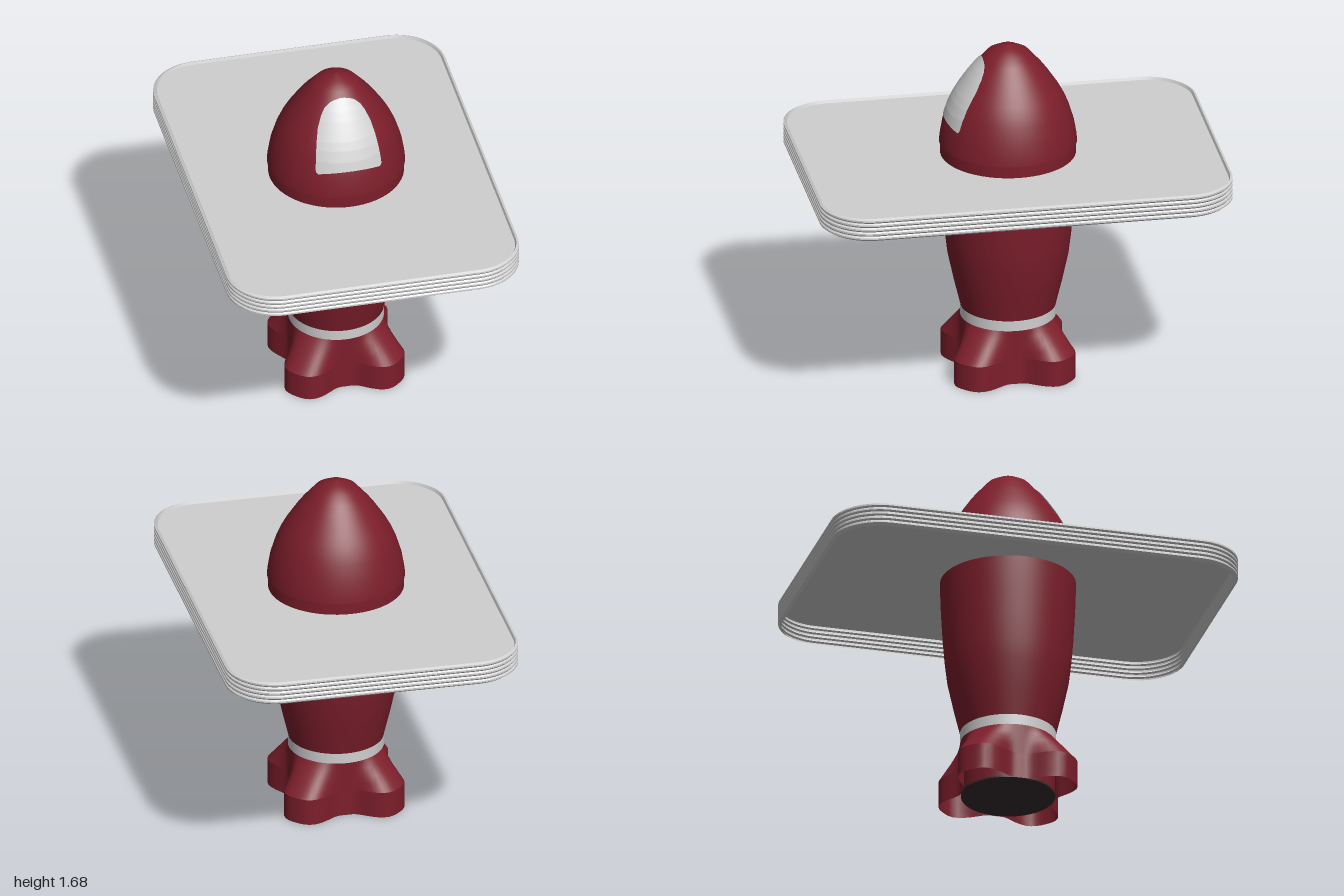
import * as THREE from 'three';
import { mergeGeometries } from 'three/addons/utils/BufferGeometryUtils.js';
import { ParametricGeometry } from 'three/addons/geometries/ParametricGeometry.js';

const red = new THREE.MeshStandardMaterial({ color: 0x7c1e2b, side: THREE.DoubleSide });
red.name = 'deep red';
const pale = new THREE.MeshStandardMaterial({ color: 0xcfcfcf, side: THREE.DoubleSide });
pale.name = 'pale grey';
const dark = new THREE.MeshStandardMaterial({ color: 0x372a2e });
dark.name = 'dark base';

// dome profile as [radius, height]
const DOME = [[0.33, 1.18], [0.327, 1.21], [0.315, 1.28], [0.29, 1.36], [0.268, 1.41], [0.246, 1.45],
  [0.22, 1.49], [0.193, 1.53], [0.165, 1.567], [0.132, 1.605], [0.1, 1.641], [0.05, 1.668], [0, 1.68]];
// window outline as [half width, height]
const WINDOW = [[0.152, 1.3], [0.16, 1.308], [0.161, 1.32], [0.155, 1.38], [0.145, 1.44], [0.13, 1.5],
  [0.108, 1.55], [0.088, 1.58], [0.062, 1.602], [0.036, 1.614], [0.01, 1.619]];

// linear lookup of the first value at a height
function widthAt(table, y) {
  for (let i = 1; i < table.length; i++) {
    const [r0, y0] = table[i - 1], [r1, y1] = table[i];
    if (y <= y1) return r0 + (r1 - r0) * Math.max(0, (y - y0) / (y1 - y0));
  }
  return table[table.length - 1][0];
}

const lathe = (pts) => new THREE.LatheGeometry(pts.map(([r, y]) => new THREE.Vector2(r, y)), 64);

// rounded rectangle, inset from the plate's outline
function plateShape(inset) {
  const x = 0.713 - inset, y = 1 - inset, r = 0.24 - inset, q = Math.PI / 2;
  const s = new THREE.Shape();
  s.absarc(x - r, y - r, r, 0, q);
  s.absarc(-x + r, y - r, r, q, 2 * q);
  s.absarc(-x + r, -y + r, r, 2 * q, 3 * q);
  s.absarc(x - r, -y + r, r, 3 * q, 4 * q);
  s.closePath();
  return s;
}

// ribbon between two plate outlines given as [inset, height]
function plateBand(lower, upper) {
  const pos = [], idx = [];
  for (const [inset, y] of [lower, upper])
    for (const p of plateShape(inset).getPoints(10)) pos.push(p.x, y, -p.y);
  const n = pos.length / 6;
  for (let i = 0; i < n - 1; i++) idx.push(i, i + 1, n + i + 1, i, n + i + 1, n + i);
  const g = new THREE.BufferGeometry();
  g.setAttribute('position', new THREE.Float32BufferAttribute(pos, 3));
  g.setIndex(idx);
  g.computeVertexNormals();
  return g;
}

// four-lobed wall, blending from one radius and lobe depth to another
function lobedWall(y0, y1, r0, r1, depth0, depth1) {
  const g = new THREE.CylinderGeometry(1, 1, 1, 96, 4, true);
  const p = g.attributes.position;
  for (let i = 0; i < p.count; i++) {
    const t = p.getY(i) + 0.5, a = Math.atan2(p.getX(i), p.getZ(i));
    const c = -Math.cos(4 * a), lobe = c * (1.5 - 0.5 * c * c);
    const r = r0 + (r1 - r0) * t + (depth0 + (depth1 - depth0) * t) * lobe;
    p.setXYZ(i, r * Math.sin(a), y0 + (y1 - y0) * t, r * Math.cos(a));
  }
  g.computeVertexNormals();
  return g;
}

export function createModel() {
  const model = new THREE.Group();
  const add = (name, geometry, material) => {
    const m = new THREE.Mesh(geometry, material);
    m.name = name;
    model.add(m);
    return m;
  };

  // lobed foot, open below around a core with a dark end
  add('foot', lobedWall(0, 0.13, 0.292, 0.292, 0.066, 0.066), red);
  add('footTaper', lobedWall(0.13, 0.28, 0.292, 0.228, 0.066, 0), red);
  add('footCore', lathe([[0.224, 0.005], [0.224, 0.28]]), red);
  const disc = add('baseDisc', new THREE.CylinderGeometry(0.225, 0.225, 0.008, 48), dark);
  disc.position.y = 0.005;

  // collar, hull and dome
  add('collar', lathe([[0.23, 0.278], [0.23, 0.33]]), pale);
  add('hull', lathe([[0.228, 0.328], [0.26, 0.46], [0.29, 0.6], [0.302, 0.7], [0.312, 0.82],
    [0.321, 0.98], [0.325, 1.1], [0.325, 1.182]]), red);
  add('dome', lathe(DOME), red);

  // window hugging the dome, its lower edge bowed up in the middle
  const y0 = WINDOW[0][1], y1 = WINDOW[WINDOW.length - 1][1];
  add('window', new ParametricGeometry((u, v, target) => {
    const side = 2 * u - 1, level = y0 + (y1 - y0) * v;
    const x = side * widthAt(WINDOW, level);
    const y = level + 0.015 * (1 - v) ** 4 * (1 - side * side);
    const r = widthAt(DOME, y) + 0.005;
    target.set(x, y, Math.sqrt(r * r - x * x));
  }, 20, 40), pale);

  // thin plate with a ribbed rim, open below
  const rim = [[0.016, 1.018]];
  for (let i = 0; i < 5; i++) {
    const y = 1.022 + i * 0.0225;
    if (i > 0) rim.push([0.007, y]);
    rim.push([0, y + 0.008], [0, y + 0.016]);
  }
  rim.push([0.012, 1.135], [0.018, 1.121]);
  const bands = [];
  for (let i = 1; i < rim.length; i++) bands.push(plateBand(rim[i - 1], rim[i]));
  add('plateRim', mergeGeometries(bands), pale);
  const sheet = new THREE.ShapeGeometry(plateShape(0.018), 10).rotateX(-Math.PI / 2);
  add('plateSheet', sheet.translate(0, 1.121, 0), pale);

  return model;
}
